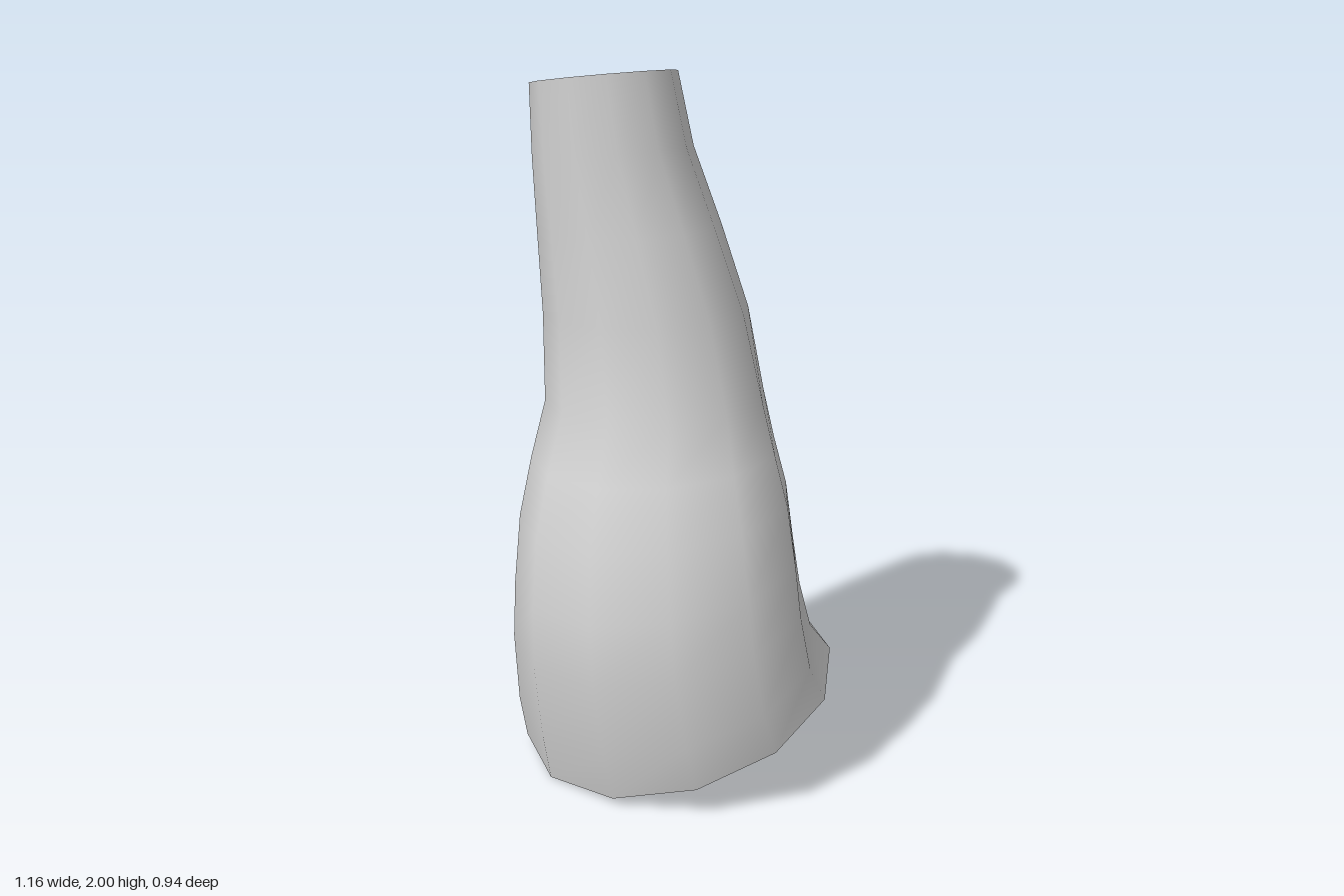
import * as THREE from 'three';

const SIDES = 12;

// Rings from the wide opening up to the narrow one:
// [xMin, xMax, zMin, zMax, centre height, slope along x, slope along z, flattening of the back left]
const RINGS = [
  [-0.35, 0.585, -0.408, 0.44, 0.17, 0.075, -0.38, 0.015],
  [-0.352, 0.565, -0.36, 0.462, 0.28, 0.07, -0.33, 0.06],
  [-0.36, 0.522, -0.387, 0.472, 0.44, 0.06, -0.2, 0.1],
  [-0.375, 0.475, -0.43, 0.447, 0.58, 0.05, -0.14, 0.13],
  [-0.405, 0.405, -0.464, 0.385, 0.75, 0.04, -0.11, 0.13],
  [-0.43, 0.32, -0.473, 0.29, 0.89, 0.03, -0.07, 0.12],
  [-0.458, 0.232, -0.473, 0.178, 1.03, 0.03, -0.04, 0.08],
  [-0.5, 0.14, -0.46, 0.125, 1.28, 0.05, 0, 0.03],
  [-0.535, 0.03, -0.425, 0.09, 1.52, 0.08, 0, 0],
  [-0.56, -0.075, -0.395, 0.065, 1.75, 0.11, 0.02, 0],
  [-0.58, -0.14, -0.385, 0.043, 1.97, 0.14, 0.03, 0],
];

// Lofts a smooth open skin through tilted, partly flattened elliptical rings
function loft(rings, sides) {
  const positions = [], index = [];
  const reach = Math.cos(Math.PI / sides); // flats sit on the extents
  rings.forEach(([x0, x1, z0, z1, y, sx, sz, flat], j) => {
    for (let i = 0; i < sides; i++) {
      const a = ((i + 0.5) / sides) * Math.PI * 2;
      const backLeft = Math.cos(a) > 0 && Math.sin(a) < 0;
      const r = (backLeft ? 1 - flat * Math.sin(2 * a) ** 2 : 1) / reach;
      const dx = ((x1 - x0) / 2) * r * Math.cos(a);
      const dz = ((z1 - z0) / 2) * r * Math.sin(a);
      positions.push((x0 + x1) / 2 + dx, y + sx * dx + sz * dz, (z0 + z1) / 2 + dz);
      if (j === rings.length - 1) continue;
      const p = j * sides + i, q = j * sides + ((i + 1) % sides);
      index.push(p, p + sides, q, q, p + sides, q + sides);
    }
  });
  const geometry = new THREE.BufferGeometry();
  geometry.setAttribute('position', new THREE.Float32BufferAttribute(positions, 3));
  geometry.setIndex(index);
  geometry.computeVertexNormals();
  return geometry;
}

export function createModel() {
  const group = new THREE.Group();
  group.name = 'sleeve';

  // Thin bent tube, open at both ends
  const material = new THREE.MeshStandardMaterial({ color: 0xcccccc, side: THREE.DoubleSide });
  const tube = new THREE.Mesh(loft(RINGS, SIDES), material);
  tube.name = 'sleeveTube';
  group.add(tube);

  return group;
}
